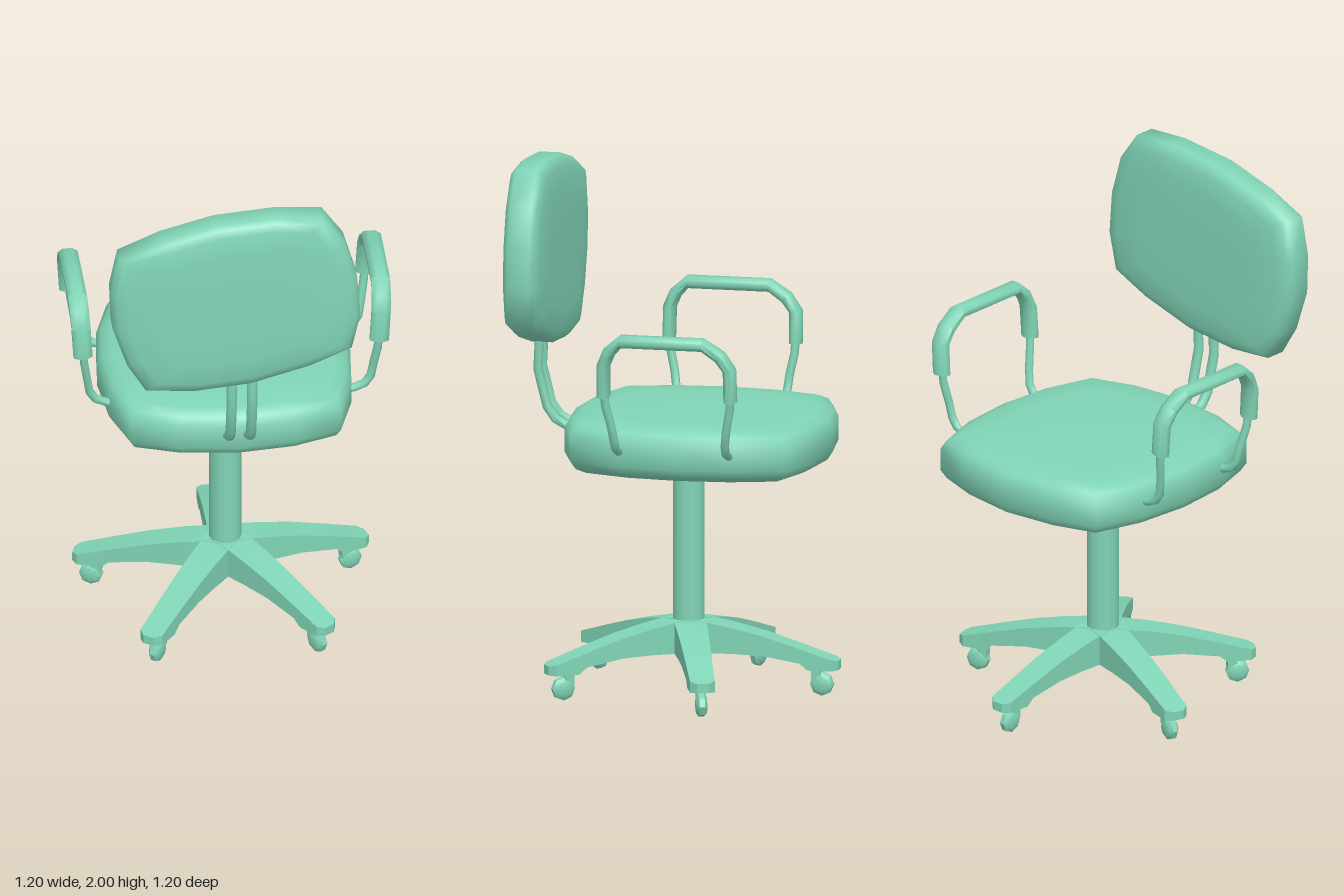
import * as THREE from 'three';
import { toCreasedNormals } from 'three/addons/utils/BufferGeometryUtils.js';

const mat = new THREE.MeshStandardMaterial({ color: 0x80d4b6 });
const V = (x, y, z) => new THREE.Vector3(x, y, z);

function add(parent, name, geo) {
  const mesh = new THREE.Mesh(geo, mat);
  mesh.name = name;
  parent.add(mesh);
  return mesh;
}

// Skin a closed solid over rings of equal length; crease is the smoothing angle.
function loft(rings, crease) {
  const n = rings[0].length, pos = [], idx = [];
  rings.forEach(r => r.forEach(p => pos.push(p.x, p.y, p.z)));
  for (let i = 0; i < rings.length - 1; i++) {
    for (let j = 0; j < n; j++) {
      const k = (j + 1) % n, a = i * n, b = a + n;
      idx.push(a + j, a + k, b + k, a + j, b + k, b + j);
    }
  }
  [0, rings.length - 1].forEach((i, end) => {
    const c = rings[i].reduce((s, p) => s.add(p), V(0, 0, 0)).divideScalar(n);
    const ci = pos.length / 3;
    pos.push(c.x, c.y, c.z);
    for (let j = 0; j < n; j++) {
      const a = i * n + j, b = i * n + (j + 1) % n;
      end ? idx.push(ci, a, b) : idx.push(ci, b, a);
    }
  });
  // Turn the faces outward if the rings run the other way
  const P = i => V(pos[3 * i], pos[3 * i + 1], pos[3 * i + 2]);
  let vol = 0;
  for (let t = 0; t < idx.length; t += 3) vol += P(idx[t]).dot(P(idx[t + 1]).cross(P(idx[t + 2])));
  if (vol < 0) idx.reverse();
  const g = new THREE.BufferGeometry();
  g.setAttribute('position', new THREE.Float32BufferAttribute(pos, 3));
  g.setIndex(idx);
  return toCreasedNormals(g, crease);
}

// Sweep an oval along points; ru lies along the side vector, rv across it.
function sweep(pts, side, ru, rv, sides = 8) {
  const rings = pts.map((p, i) => {
    const t = pts[Math.min(i + 1, pts.length - 1)].clone().sub(pts[Math.max(i - 1, 0)]).normalize();
    const v = t.clone().cross(side).normalize(), u = v.clone().cross(t);
    return Array.from({ length: sides }, (_, j) => {
      const a = (j + 0.5) / sides * Math.PI * 2;
      return p.clone().addScaledVector(u, Math.cos(a) * ru).addScaledVector(v, Math.sin(a) * rv);
    });
  });
  return loft(rings, 1);
}

// Padded cushion: outline scaled about its centre at each [scale, offset] layer.
function cushion(outline, cx, cy, layers, place) {
  return loft(layers.map(([s, h]) =>
    outline.map(([x, y]) => place(cx + (x - cx) * s, cy + (y - cy) * s, h))), 1.3);
}

function mirrorLayers(half) {
  return [...half.map(([s, h]) => [s, -h]), ...half.slice().reverse()];
}

export function createModel() {
  const chair = new THREE.Group();
  chair.name = 'officeChair';

  // Seat
  const rightHalf = [[0, -0.575], [0.22, -0.547], [0.39, -0.49], [0.45, -0.3], [0.47, -0.08],
    [0.45, 0.14], [0.39, 0.33], [0.22, 0.39], [0, 0.415]];
  const seatOutline = [...rightHalf, ...rightHalf.slice(1, -1).reverse().map(([x, z]) => [-x, z])];
  const seatLayers = mirrorLayers([[0.3, 0.106], [0.65, 0.104], [0.88, 0.095], [0.96, 0.076], [1, 0.045]]);
  add(chair, 'seat', cushion(seatOutline, 0, -0.08, seatLayers, (x, z, h) => V(x, 0.965 + h, z)));

  // Tilted backrest
  const backOutline = [[-0.458, 1.855], [-0.3, 1.925], [-0.1, 1.98], [0.13, 2], [0.3, 1.988],
    [0.38, 1.875], [0.425, 1.72], [0.437, 1.56], [0.405, 1.42], [0.25, 1.352], [0.03, 1.29],
    [-0.18, 1.27], [-0.36, 1.285], [-0.43, 1.4], [-0.483, 1.56], [-0.488, 1.71]];
  const backLayers = mirrorLayers([[0.3, 0.077], [0.65, 0.076], [0.88, 0.069], [0.96, 0.058], [1, 0.04]]);
  add(chair, 'backrest', cushion(backOutline, -0.025, 1.635, backLayers, (x, y, h) => V(x, y, 0.518 + h)));

  // Paired bars holding the backrest
  const barPath = [[0.97, 0.34], [0.98, 0.42], [1.005, 0.465], [1.05, 0.497], [1.11, 0.512],
    [1.19, 0.532], [1.27, 0.528], [1.36, 0.525]];
  for (const x of [-0.038, 0.038]) {
    add(chair, 'backrestBar', sweep(barPath.map(([y, z]) => V(x, y, z)), V(1, 0, 0), 0.02, 0.017));
  }

  // Armrests: oval pad over a hoop, with two bent tubes to the seat
  const padPath = [[1.205, 0.168], [1.325, 0.166], [1.375, 0.145], [1.418, 0.1], [1.418, -0.21],
    [1.375, -0.275], [1.325, -0.31], [1.205, -0.312]];
  for (const s of [1, -1]) {
    const arm = new THREE.Group();
    arm.name = s > 0 ? 'leftArmrest' : 'rightArmrest';
    chair.add(arm);
    const pad = padPath.map(([y, z]) => V(s * (0.55 + (y - 1.205) * 0.06), y, z));
    add(arm, 'armPad', sweep(pad, V(1, 0, 0), 0.038, 0.025, 8));
    for (const [zLow, zHigh] of [[0.133, 0.168], [-0.283, -0.312]]) {
      const tube = [[0.4, 0.975, 0], [0.46, 0.98, 0], [0.5, 0.997, 0], [0.522, 1.03, 0.05],
        [0.532, 1.09, 0.3], [0.545, 1.17, 0.85], [0.552, 1.25, 1]];
      const path = tube.map(([x, y, t]) => V(s * x, y, zLow + (zHigh - zLow) * t));
      add(arm, 'armTube', sweep(path, V(0, 0, 1), 0.016, 0.016));
    }
  }

  // Swivel base, built around the column axis
  const base = new THREE.Group();
  base.name = 'base';
  base.position.z = -0.03;
  chair.add(base);
  const column = add(base, 'column', new THREE.CylinderGeometry(0.06, 0.06, 0.68, 12));
  column.position.y = 0.55;

  // Leg sections: radius, half width, bottom, top
  const sections = [[0, 0.06, 0.15, 0.272], [0.07, 0.06, 0.15, 0.268], [0.17, 0.057, 0.152, 0.25],
    [0.29, 0.053, 0.148, 0.222], [0.43, 0.049, 0.125, 0.18], [0.46, 0.048, 0.1, 0.17],
    [0.55, 0.046, 0.1, 0.142], [0.572, 0.022, 0.102, 0.136]];
  const legRings = sections.map(([r, w, b, t]) => [V(-w, b, -r), V(w, b, -r), V(w, t, -r), V(-w, t, -r)]);
  const legGeo = loft(legRings, 0.5);

  // Caster wheel profile with domed faces
  const wheelProfile = [[0, -0.022], [0.03, -0.02], [0.044, -0.01], [0.044, 0.01], [0.03, 0.02], [0, 0.022]]
    .map(p => new THREE.Vector2(...p));
  const wheelGeo = toCreasedNormals(new THREE.LatheGeometry(wheelProfile, 8), 0.6).rotateZ(Math.PI / 2);

  for (let i = 0; i < 5; i++) {
    const leg = new THREE.Group();
    leg.name = 'baseLeg';
    leg.rotation.y = i * Math.PI * 2 / 5;
    base.add(leg);
    add(leg, 'legBeam', legGeo);
    add(leg, 'casterWheel', wheelGeo).position.set(0, 0.044, -0.505);
    add(leg, 'casterStem', new THREE.BoxGeometry(0.036, 0.06, 0.036)).position.set(0, 0.085, -0.485);
  }
  return chair;
}
